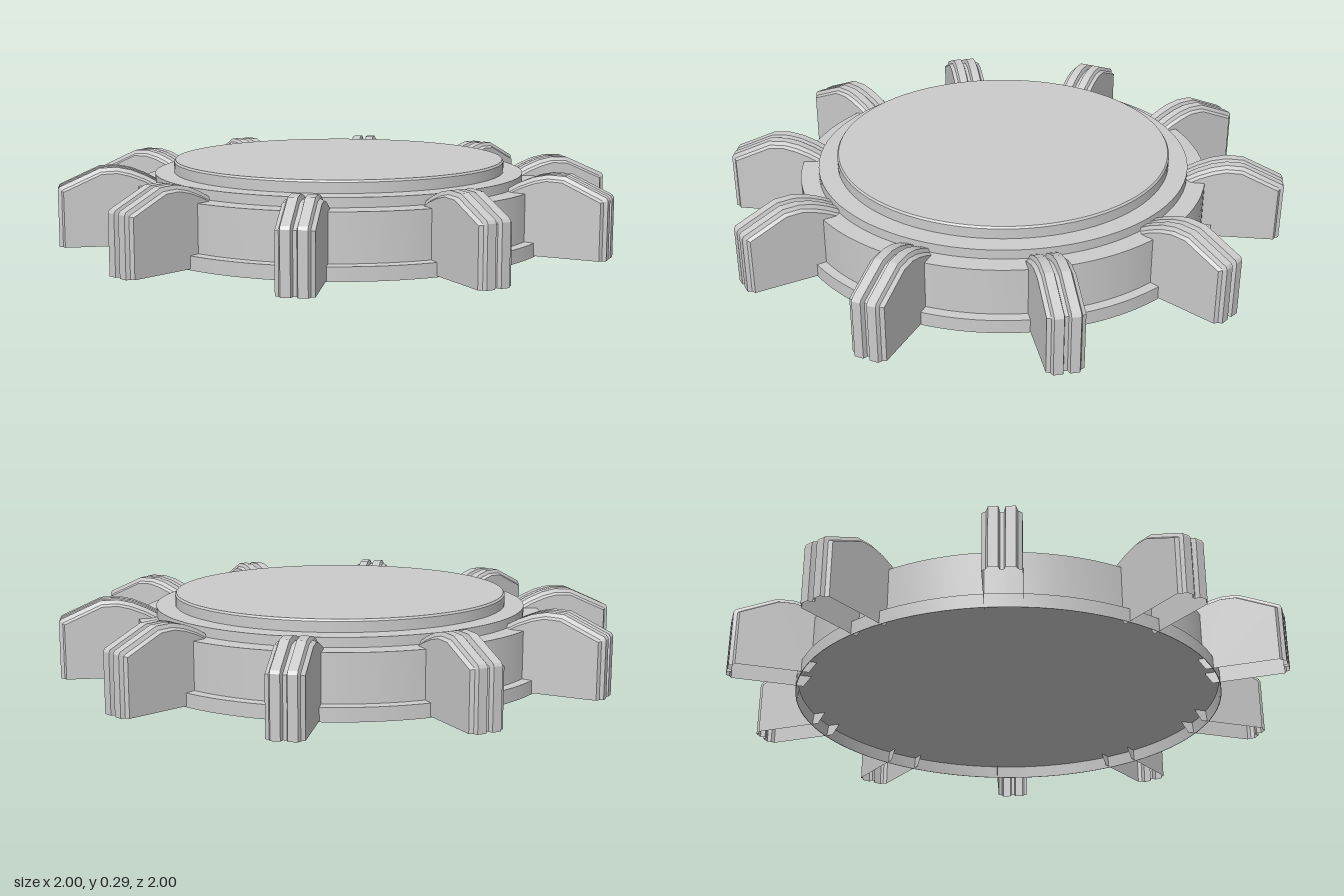
import * as THREE from 'three';
import { toCreasedNormals } from 'three/addons/utils/BufferGeometryUtils.js';

// the fins and the rim are open underneath, so both faces show
const material = new THREE.MeshStandardMaterial({ color: 0xcccccc, side: THREE.DoubleSide });

// Side outline of a fin: radius, height, and the direction in which grooves cut inwards
const OUTLINE = [
  [0.735, 0.004, 0, 0], [0.63, 0.17, 0, 0], [0.65, 0.222, 0.3, -0.9], [0.7, 0.25, 0.4, -0.9],
  [0.75, 0.271, 0.3, -1], [0.8, 0.282, 0, -1], [0.86, 0.28, -0.3, -1], [1.0, 0.217, -1, -0.7],
  [1.006, 0.207, -1, -0.3], [1.006, 0.004, -1, 0],
];

// Stations across a fin: sideways offset and depth of cut (two ridges and a groove)
const STATIONS = [
  [-0.061, 0.02], [-0.048, 0.013], [-0.042, 0], [-0.011, 0], [-0.006, 0.016],
  [0.006, 0.016], [0.011, 0], [0.042, 0], [0.048, 0.013], [0.061, 0.02],
];

function finGeometry() {
  const n = OUTLINE.length;
  const positions = [];
  const index = [];
  for (const [z, cut] of STATIONS) {
    for (const [r, y, dx, dy] of OUTLINE) positions.push(r + dx * cut, y + dy * cut, z);
  }
  // ridged top and outer end, left open underneath and towards the body
  for (let i = 0; i < STATIONS.length - 1; i++) {
    for (let k = 1; k < n - 1; k++) {
      const a = i * n + k, b = a + 1, c = b + n, d = a + n;
      index.push(a, d, b, b, d, c);
    }
  }
  // flat sides
  const last = (STATIONS.length - 1) * n;
  for (let k = 1; k < n - 1; k++) {
    index.push(0, k, k + 1, last, last + k + 1, last + k);
  }
  const geometry = new THREE.BufferGeometry();
  geometry.setAttribute('position', new THREE.Float32BufferAttribute(positions, 3));
  geometry.setIndex(index);
  return toCreasedNormals(geometry, 0.35);
}

export function createModel() {
  const model = new THREE.Group();
  model.name = 'finnedPlatform';

  // stepped round body: recessed underside, flange, wall, shoulder and raised top
  const profile = [
    [0, 0.045], [0.757, 0.045], [0.762, 0], [0.764, 0], [0.764, 0.048], [0.73, 0.05], [0.73, 0.215],
    [0.665, 0.217], [0.665, 0.25], [0.597, 0.252], [0.597, 0.288], [0.592, 0.295], [0, 0.295],
  ].map(([x, y]) => new THREE.Vector2(x, y));
  const body = new THREE.Mesh(toCreasedNormals(new THREE.LatheGeometry(profile, 96), 0.4), material);
  body.name = 'platformBody';
  model.add(body);

  // ten ridged fins around the rim
  const geometry = finGeometry();
  for (let i = 0; i < 10; i++) {
    const fin = new THREE.Mesh(geometry, material);
    fin.name = `fin${i + 1}`;
    fin.rotation.y = -THREE.MathUtils.degToRad(8 + i * 36);
    model.add(fin);
  }
  return model;
}
